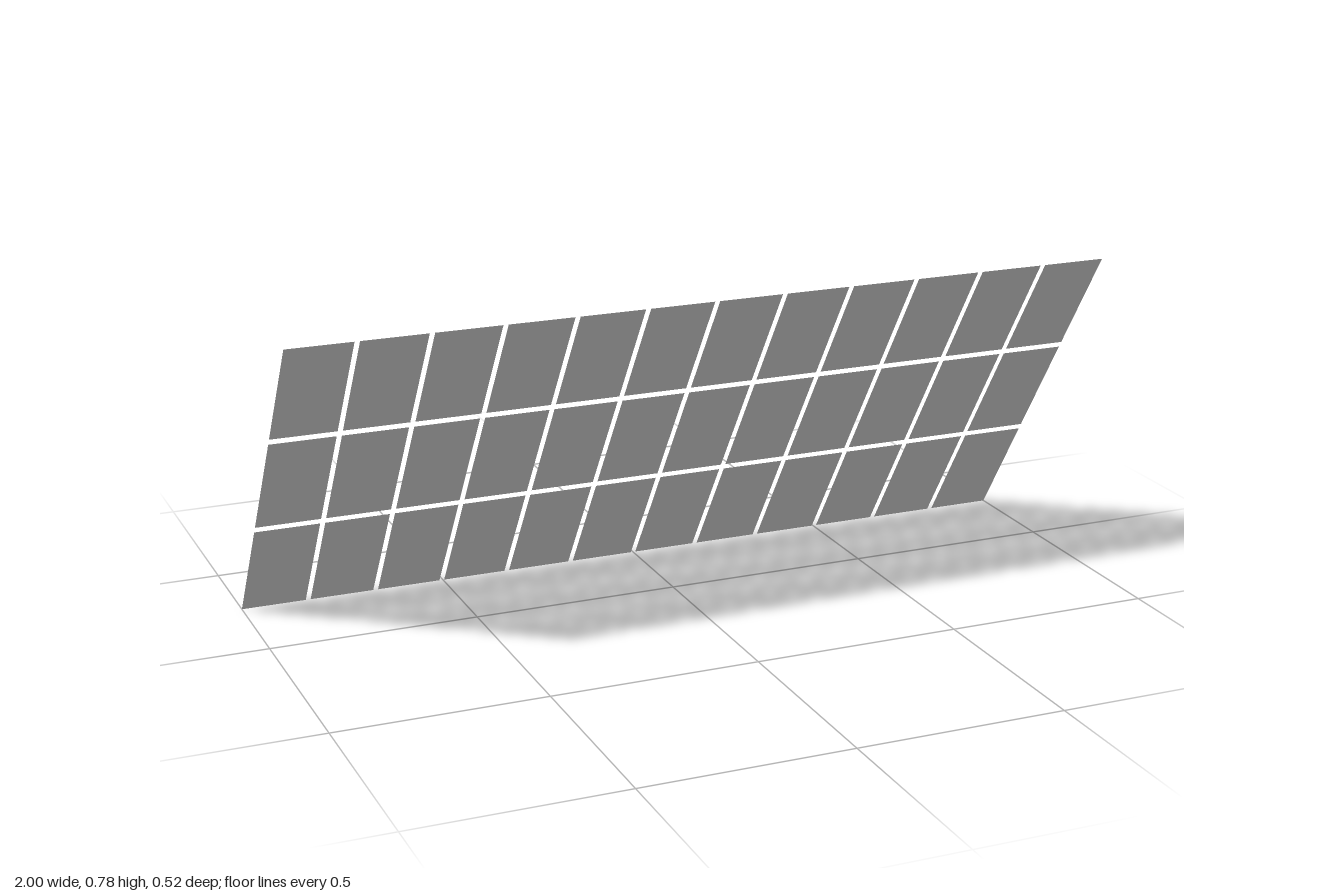
import * as THREE from 'three';

const COLUMNS = 12, ROWS = 3;
const RISE = 0.783, RUN = 0.522; // vertical and depth extent of the tilted array
const GAP_X = 0.012, GAP_Z = 0.0175;

export function createModel() {
  const model = new THREE.Group();
  model.name = 'solarPanelArray';

  const slope = Math.hypot(RISE, RUN);
  const width = (2 - (COLUMNS - 1) * GAP_X) / COLUMNS;
  const length = (slope - (ROWS - 1) * GAP_Z) / ROWS;

  // One thin panel lying flat, face up
  const geometry = new THREE.PlaneGeometry(width, length).rotateX(-Math.PI / 2);
  const material = new THREE.MeshStandardMaterial({ color: 0xcccccc, side: THREE.DoubleSide });

  // Flat grid of panels, tilted so the +z edge rises and the faces look up and back
  const array = new THREE.Group();
  array.name = 'tiltedArray';
  for (let r = 0; r < ROWS; r++) {
    const row = new THREE.Group();
    row.name = `panelRow${r + 1}`;
    row.position.z = (r - (ROWS - 1) / 2) * (length + GAP_Z);
    for (let c = 0; c < COLUMNS; c++) {
      const panel = new THREE.Mesh(geometry, material);
      panel.name = `panel${c + 1}`;
      panel.position.x = (c - (COLUMNS - 1) / 2) * (width + GAP_X);
      row.add(panel);
    }
    array.add(row);
  }
  array.rotation.x = -Math.atan2(RISE, RUN);
  array.position.y = RISE / 2;
  model.add(array);

  return model;
}
